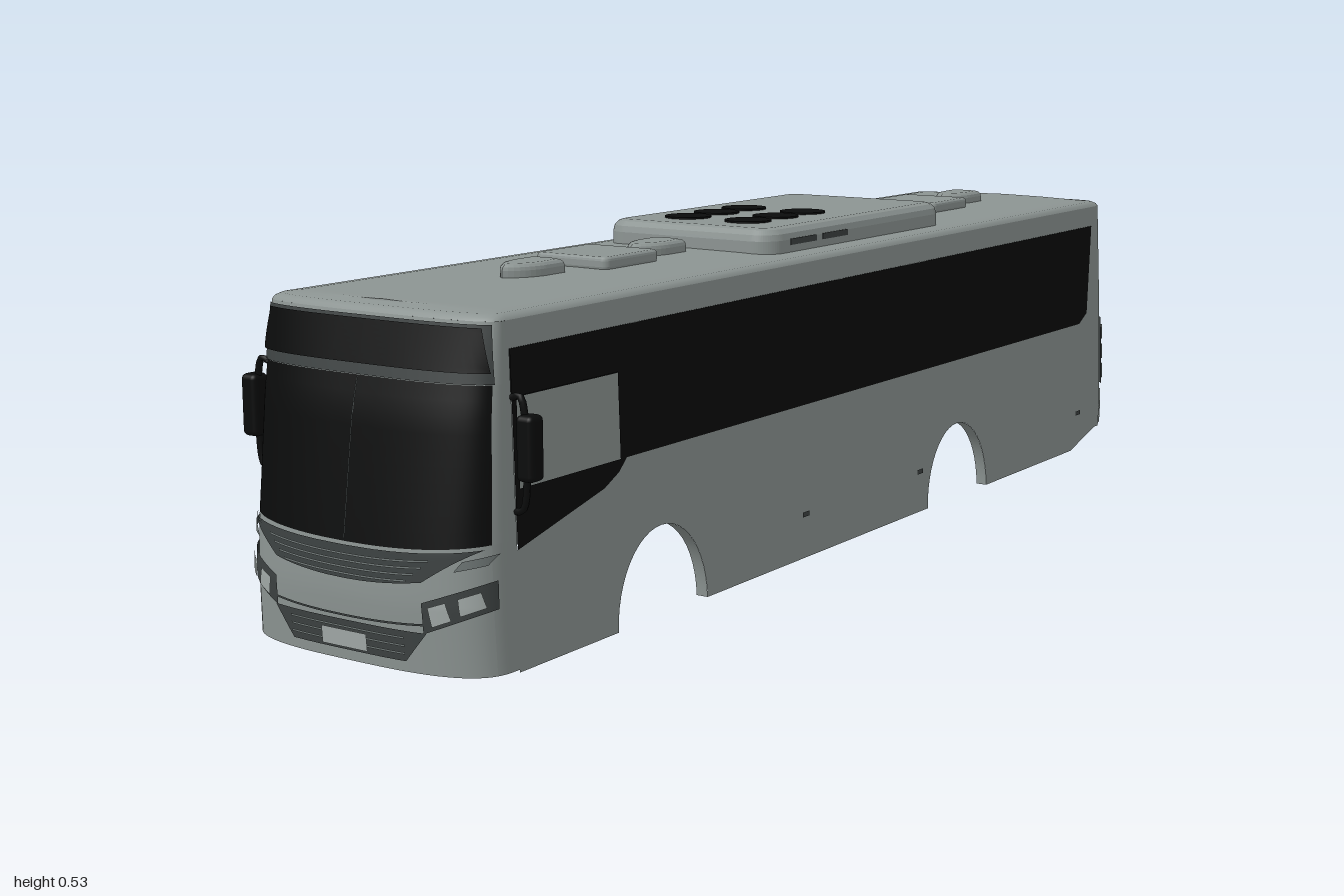
import * as THREE from 'three';
import { RoundedBoxGeometry } from 'three/addons/geometries/RoundedBoxGeometry.js';

const mat = (name, color) => new THREE.MeshStandardMaterial({ name, color, side: THREE.DoubleSide });
const M = {
  body: mat('body grey', 0x8c9492),
  glass: mat('black glass', 0x0a0b0b),
  dark: mat('charcoal trim', 0x3c4141),
  lens: mat('lens grey', 0x6e7675),
  plate: mat('pale grey', 0xa2aaa8),
};
const EAVE = 0.478, DOOR_TOP = 0.44;
const halfWidth = y => 0.222 - 0.03 * y;

// linear interpolation through [position, value] pairs
function along(table, y) {
  let i = 1;
  while (i < table.length - 1 && y > table[i][0]) i++;
  const [a, b] = [table[i - 1], table[i]];
  return THREE.MathUtils.lerp(a[1], b[1], THREE.MathUtils.clamp((y - a[0]) / (b[0] - a[0]), 0, 1));
}

// the two ends: profile of depth, joint with the sides, squareness of the plan curve
const FRONT = { dir: 1, joint: 0.9, n: 3, prof: [[0, 0.993], [0.1, 1], [0.17, 0.997], [0.35, 0.972], [EAVE, 0.938]] };
const REAR = { dir: -1, joint: 0.94, n: 5, prof: [[0.03, 0.985], [0.08, 0.998], [0.3, 0.997], [EAVE, 0.985]] };

function endPoint(e, angle, y, off = 0) {
  const s = Math.sin(angle), c = Math.max(0, Math.cos(angle)), p = 2 / e.n;
  const depth = along(e.prof, y) - e.joint + off;
  return [(halfWidth(y) + off) * Math.sign(s) * Math.abs(s) ** p, y, e.dir * (e.joint + depth * c ** p)];
}
const toAngle = (e, q) => Math.sign(q) * Math.asin(Math.min(1, Math.abs(q) ** (e.n / 2)));

// smooth surface from a rule over u, v in 0..1
function grid(fn, nu, nv) {
  const pos = [], idx = [];
  for (let j = 0; j <= nv; j++) for (let i = 0; i <= nu; i++) pos.push(...fn(i / nu, j / nv));
  for (let j = 0; j < nv; j++) for (let i = 0; i < nu; i++) {
    const a = j * (nu + 1) + i, b = a + nu + 1;
    idx.push(a, a + 1, b, a + 1, b + 1, b);
  }
  const g = new THREE.BufferGeometry();
  g.setAttribute('position', new THREE.Float32BufferAttribute(pos, 3));
  g.setIndex(idx);
  g.computeVertexNormals();
  return g;
}

function add(parent, name, geo, material, x = 0, y = 0, z = 0) {
  const m = new THREE.Mesh(geo, material);
  m.name = name;
  m.position.set(x, y, z);
  parent.add(m);
  return m;
}

// patch on an end; left, right are width fractions [bottom, top]; low, high are heights or rules of the fraction
function patch(parent, e, name, material, left, right, low, high, off = 0.003, nu = 20, nv = 8) {
  const at = (h, q) => (typeof h === 'function' ? h(q) : h);
  add(parent, name, grid((u, v) => {
    const l = toAngle(e, THREE.MathUtils.lerp(left[0], left[1], v));
    const r = toAngle(e, THREE.MathUtils.lerp(right[0], right[1], v));
    const a = l + (r - l) * u, q = Math.sign(a) * Math.abs(Math.sin(a)) ** (2 / e.n);
    return endPoint(e, a, THREE.MathUtils.lerp(at(low, q), at(high, q), v), off);
  }, nu, nv), material);
}

// an end wall with one big window
function endWall(parent, e, name, Q, rows) {
  const cols = [-1, -Q, Q, 1];
  for (let c = 0; c < 3; c++) for (let r = 0; r < 3; r++) {
    const win = c === 1 && r === 1;
    patch(parent, e, name + (win ? 'Window' : 'Panel'), win ? M.glass : M.body,
      [cols[c], cols[c]], [cols[c + 1], cols[c + 1]], rows[r], rows[r + 1], 0, c === 1 ? 32 : 8, 10);
  }
}

// flat shape in (z, y) laid on a side of the body
function sidePiece(parent, name, side, shape, material, off = 0) {
  const g = new THREE.ShapeGeometry(shape, 24), p = g.attributes.position;
  for (let i = 0; i < p.count; i++) {
    const z = p.getX(i), y = p.getY(i);
    p.setXYZ(i, side * (halfWidth(y) + off), y, z);
  }
  g.computeVertexNormals();
  add(parent, name, g, material);
}
const poly = pts => new THREE.Shape(pts.map(p => new THREE.Vector2(...p)));
const rect = (z0, z1, y0, y1) => poly([[z0, y0], [z1, y0], [z1, y1], [z0, y1]]);

const ARCHES = [-0.352, 0.565];
function sideWall(parent, side, openings) {
  const s = new THREE.Shape().moveTo(-0.94, 0.03).lineTo(-0.83, 0);
  for (const c of ARCHES) s.lineTo(c - 0.1125, 0).absellipse(c, 0, 0.1125, 0.135, Math.PI, 0, true);
  s.lineTo(0.9, 0).lineTo(0.9, EAVE).lineTo(-0.94, EAVE);
  s.holes = openings;
  sidePiece(parent, 'sideWall', side, s, M.body);
  for (const c of ARCHES) add(parent, 'wheelArchLip', grid((u, v) => {
    const a = Math.PI * u, y = 0.135 * Math.sin(a);
    return [side * (halfWidth(y) - 0.02 * v), y, c + 0.1125 * Math.cos(a)];
  }, 24, 1), M.body);
  for (const z of [0.17, -0.21, -0.86]) sidePiece(parent, 'sideMarker', side, rect(z - 0.01, z + 0.01, 0.068, 0.076), M.dark, 0.002);
}

function buildRoof(parent) {
  const N = 24, rings = [[0, EAVE], [0.003, 0.483], [0.01, 0.487], [0.03, 0.489], [0.1, 0.491], [0.2077, 0.492]];
  add(parent, 'roof', grid((u, v) => {
    const [inset, y] = rings[Math.round(v * 5)], k = Math.round(u * (2 * N + 2)) % (2 * N + 2);
    const e = k <= N ? FRONT : REAR, a = k <= N ? Math.PI * (0.5 - k / N) : Math.PI * ((k - N - 1) / N - 0.5);
    const [x, , z] = endPoint(e, a, EAVE);
    return [x * (1 - inset / halfWidth(EAVE)), y, z - Math.sign(z) * Math.min(inset, 0.03)];
  }, 2 * N + 2, 5), M.body);
}

// bevelled slab lying on the roof, drawn in (x, -z)
function slab(parent, name, shape, base, height, bevel, x, z) {
  const g = new THREE.ExtrudeGeometry(shape, {
    depth: height - bevel, bevelThickness: bevel, bevelSize: bevel, bevelOffset: -bevel, bevelSegments: 3, curveSegments: 8,
  });
  g.rotateX(-Math.PI / 2);
  add(parent, name, g, M.body, x, base, z);
}
function roundRect(w, d, r) {
  const x = w / 2, y = d / 2, s = new THREE.Shape();
  s.absarc(x - r, y - r, r, 0, Math.PI / 2).absarc(r - x, y - r, r, Math.PI / 2, Math.PI);
  return s.absarc(r - x, r - y, r, Math.PI, 1.5 * Math.PI).absarc(x - r, r - y, r, 1.5 * Math.PI, 2 * Math.PI);
}

function buildRoofEquipment(parent) {
  slab(parent, 'airConditioner', roundRect(0.33, 0.58, 0.04), 0.48, 0.05, 0.02, 0, -0.1);
  for (const x of [-0.063, 0.057]) for (const z of [-0.08, 0.005, 0.09])
    add(parent, 'coolingFan', new THREE.CylinderGeometry(0.039, 0.039, 0.006, 28), M.glass, x, 0.53, z);
  for (const s of [-1, 1]) for (const z of [0.09, -0.01])
    add(parent, 'airConditionerVent', new THREE.BoxGeometry(0.006, 0.01, 0.08), M.dark, s * 0.163, 0.506, z);
  for (const z of [-0.605, 0.42]) {
    slab(parent, 'hatchBase', roundRect(0.12, 0.12, 0.01), 0.485, 0.012, 0.003, -0.004, z);
    slab(parent, 'roofHatch', roundRect(0.138, 0.138, 0.012), 0.495, 0.015, 0.006, -0.004, z);
  }
  const scoop = new THREE.Shape().moveTo(-0.034, 0.045).quadraticCurveTo(0, 0.065, 0.034, 0.045)
    .lineTo(0.034, 0).quadraticCurveTo(0.03, -0.04, 0, -0.06).quadraticCurveTo(-0.03, -0.04, -0.034, 0);
  for (const z of [-0.75, 0.275, 0.59]) slab(parent, 'roofVent', scoop, 0.485, 0.027, 0.01, -0.004, z);
}

function buildFront(parent) {
  const sill = q => 0.172 + 0.012 * q * q;
  endWall(parent, FRONT, 'front', 0.975, [0.004, sill, 0.395, EAVE]);
  const f = (...a) => patch(parent, FRONT, ...a);
  f('windscreenDivider', M.dark, [-0.006, -0.006], [0.006, 0.006], 0.176, 0.394, 0.002);
  f('brow', M.dark, [-0.98, -0.96], [0.98, 0.96], 0.396, 0.474, 0.002);
  f('destinationWindow', M.glass, [-0.96, -0.9], [0.96, 0.9], 0.411, 0.47, 0.005);
  // upper grille with slats
  f('upperGrille', M.dark, [-0.6, -0.95], [0.6, 0.95], q => 0.122 + 0.03 * q * q, q => sill(q) - 0.004);
  for (let i = 0; i < 4; i++) {
    const y = 0.128 + i * 0.009, w = 0.5 + i * 0.05;
    f('grilleSlat', M.lens, [-w, -w], [w, w], q => y + 0.016 * q * q, q => y + 0.003 + 0.016 * q * q, 0.006, 20, 1);
  }
  f('bumperSeam', M.dark, [-0.72, -0.72], [0.72, 0.72], q => 0.068 + 0.014 * q * q, q => 0.071 + 0.014 * q * q, 0.003, 20, 1);
  // lower grille and number plate
  f('lowerGrille', M.dark, [-0.46, -0.62], [0.46, 0.62], 0.02, 0.063);
  for (const y of [0.03, 0.041, 0.052]) f('lowerGrilleSlat', M.lens, [-0.46, -0.46], [0.46, 0.46], y, y + 0.003, 0.005, 20, 1);
  f('numberPlate', M.plate, [-0.18, -0.18], [0.18, 0.18], 0.025, 0.05, 0.008);
  for (const s of [-1, 1]) {
    const slope = (y, k) => q => y + k * (Math.abs(q) - 0.6);
    f('headlampHousing', M.dark, [s * 0.6, s * 0.6], [s * 0.985, s * 0.985], slope(0.062, 0.09), slope(0.105, 0.08));
    f('innerHeadlamp', M.plate, [s * 0.66, s * 0.64], [s * 0.78, s * 0.75], slope(0.068, 0.09), slope(0.097, 0.08), 0.006);
    f('outerHeadlamp', M.plate, [s * 0.83, s * 0.82], [s * 0.95, s * 0.93], slope(0.07, 0.09), slope(0.097, 0.08), 0.006);
    f('lampBrow', M.lens, [s * 0.8, s * 0.85], [s * 0.96, s * 0.99], slope(0.14, 0.05), slope(0.152, 0.05), 0.004);
  }
}

function buildRear(parent) {
  endWall(parent, REAR, 'rear', 0.92, [0.03, q => 0.275 + 0.025 * q * q, q => 0.455 - 0.012 * q * q, EAVE]);
  const r = (...a) => patch(parent, REAR, ...a);
  r('rearBumper', M.body, [-0.99, -0.99], [0.99, 0.99], 0.035, q => 0.085 + 0.02 * q * q, 0.002);
  r('rearBumperSeam', M.dark, [-0.8, -0.8], [0.8, 0.8], q => 0.087 + 0.02 * q * q, q => 0.09 + 0.02 * q * q, 0.002);
  r('rearHandle', M.dark, [-0.2, -0.2], [0.2, 0.2], 0.165, 0.17, 0.003);
  for (const s of [-1, 1]) {
    r('tailLampHousing', M.dark, [s * 0.84, s * 0.9], [s * 0.985, s * 0.985], 0.115, 0.25);
    for (const y of [0.125, 0.165, 0.205]) r('tailLamp', M.lens, [s * 0.88, s * 0.91], [s * 0.965, s * 0.97], y, y + 0.03, 0.006);
  }
}

function buildSides(parent) {
  // driver's side: one long window band with an open driver's window
  const band = poly([[0.895, 0.168], [0.7, 0.215], [0.665, 0.232], [0.645, 0.25], [-0.87, 0.25], [-0.905, 0.268], [-0.928, DOOR_TOP], [0.895, DOOR_TOP]]);
  sideWall(parent, 1, [band.clone()]);
  band.holes = [rect(0.66, 0.885, 0.25, 0.375)];
  sidePiece(parent, 'longSideWindow', 1, band, M.glass, 0.001);

  // door side
  const doors = [[-0.86, -0.655], [-0.145, 0.03], [0.685, 0.835]].map(([a, b]) => [a, b, 0.025, DOOR_TOP]);
  const windows = [[-0.64, -0.16, 0.25, DOOR_TOP], [0.055, 0.67, 0.25, DOOR_TOP]];
  const quarter = poly([[-0.875, 0.25], [-0.9, 0.268], [-0.925, DOOR_TOP], [-0.875, DOOR_TOP]]);
  const gap = rect(0.85, 0.888, 0.21, 0.42);
  sideWall(parent, -1, [...doors, ...windows].map(r => rect(...r)).concat(quarter, gap));
  sidePiece(parent, 'rearQuarterWindow', -1, quarter, M.glass);
  for (const w of windows) {
    sidePiece(parent, 'sideWindow', -1, rect(...w), M.glass);
    for (const k of [1 / 3, 2 / 3]) {
      const z = w[0] + (w[1] - w[0]) * k;
      sidePiece(parent, 'windowDivider', -1, rect(z - 0.003, z + 0.003, 0.25, DOOR_TOP), M.dark, 0.002);
    }
  }
  for (const [a, b, y0, y1] of doors) {
    sidePiece(parent, 'door', -1, rect(a, b, y0, y1), M.glass, -0.004);
    const mid = (a + b) / 2;
    for (const z of [a + 0.004, mid, b - 0.004]) sidePiece(parent, 'doorFrame', -1, rect(z - 0.003, z + 0.003, y0, y1), M.dark, 0.001);
    sidePiece(parent, 'doorRail', -1, rect(a, b, 0.2, 0.205), M.dark, 0.001);
    sidePiece(parent, 'doorPost', -1, rect(b, b + 0.014, y0, y1), M.plate, 0.003);
  }
  sidePiece(parent, 'serviceFlap', -1, rect(-0.22, -0.17, 0.05, 0.13), M.plate, 0.002);
}

function buildMirror(parent, side, y, z) {
  const g = new THREE.Group();
  g.name = side > 0 ? 'leftMirror' : 'rightMirror';
  add(g, 'mirrorHousing', new RoundedBoxGeometry(0.029, 0.09, 0.03, 3, 0.008), M.glass, side * 0.2375, y, z);
  const path = [[0.208, 0.065], [0.222, 0.068], [0.23, 0.04], [0.232, -0.04], [0.225, -0.085], [0.212, -0.09]]
    .map(([x, dy]) => new THREE.Vector3(side * x, y + dy, z));
  add(g, 'mirrorArm', new THREE.TubeGeometry(new THREE.CatmullRomCurve3(path), 24, 0.005, 8), M.glass);
  parent.add(g);
}

export function createModel() {
  const bus = new THREE.Group(), shell = new THREE.Group();
  bus.name = 'bus';
  shell.name = 'bodyShell';
  shell.position.x = -0.004;
  bus.add(shell);
  buildFront(shell);
  buildRear(shell);
  buildSides(shell);
  buildRoof(shell);
  buildRoofEquipment(shell);
  buildMirror(bus, -1, 0.325, 0.925);
  buildMirror(bus, 1, 0.31, 0.895);
  return bus;
}
